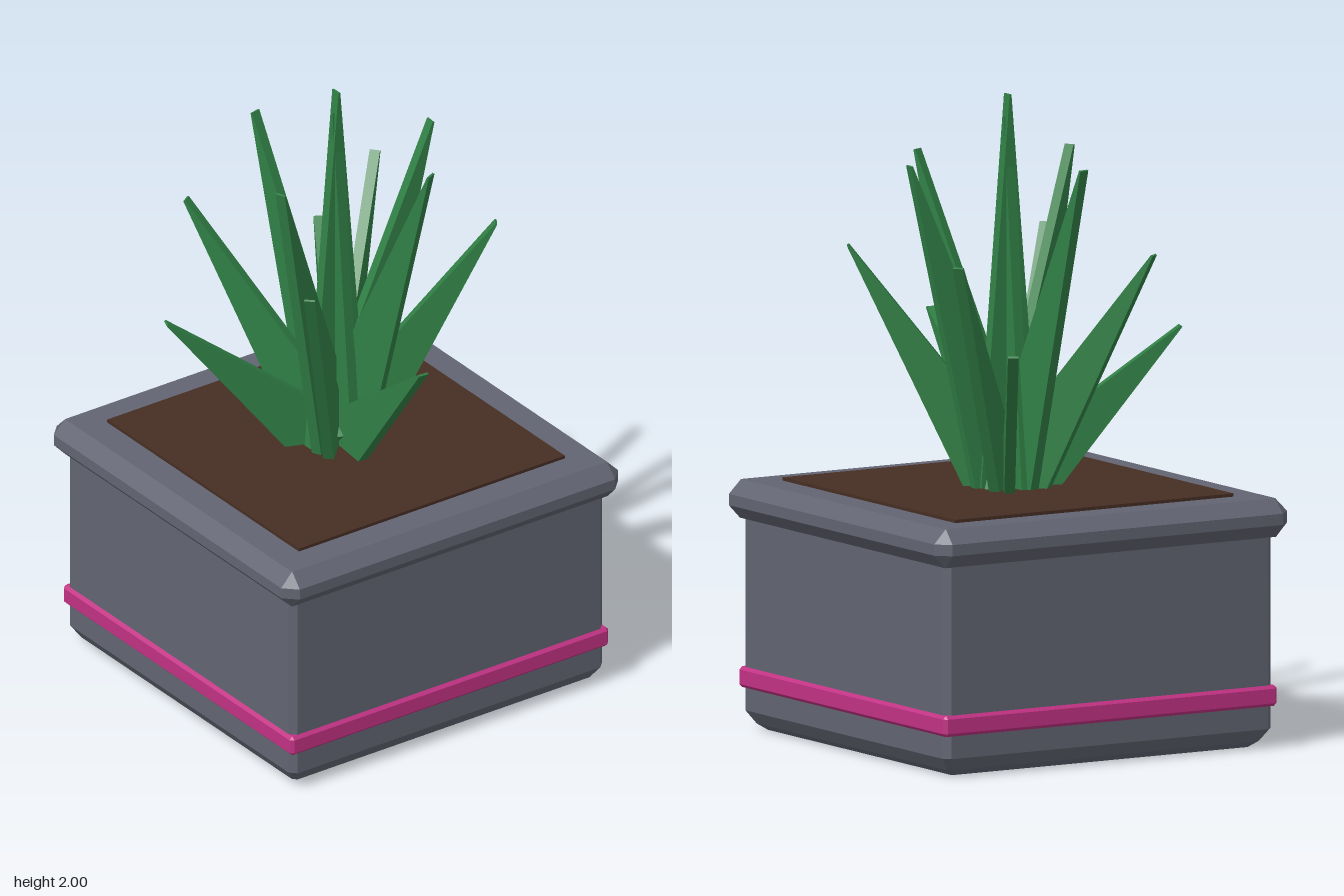
import * as THREE from 'three';

const mat = (name, color) => {
  const m = new THREE.MeshStandardMaterial({ color });
  m.name = name;
  return m;
};

// Square block with cut corners, lofted through rings of [y, half width, corner cut]
function bevelledBlock(rings) {
  const loops = rings.map(([y, h, c]) => {
    const k = h - c;
    return [[h, k], [k, h], [-k, h], [-h, k], [-h, -k], [-k, -h], [k, -h], [h, -k]]
      .map(([x, z]) => [x, y, z]);
  });
  const pos = [];
  const tri = (...pts) => pts.forEach((p) => pos.push(...p));
  const last = loops.length - 1;
  for (let j = 0; j < 8; j++) {
    const n = (j + 1) % 8;
    for (let i = 0; i < last; i++) {
      const a = loops[i][j], b = loops[i][n], c = loops[i + 1][j], d = loops[i + 1][n];
      tri(a, c, b);
      tri(b, c, d);
    }
    tri([0, rings[0][0], 0], loops[0][j], loops[0][n]);
    tri([0, rings[last][0], 0], loops[last][n], loops[last][j]);
  }
  const geo = new THREE.BufferGeometry();
  geo.setAttribute('position', new THREE.Float32BufferAttribute(pos, 3));
  geo.computeVertexNormals();
  return geo;
}

// Flat blade of even thickness that narrows to a sharp tip
function bladeGeometry(length) {
  const geo = new THREE.BoxGeometry(0.22, length, 0.033);
  geo.translate(0, length / 2, 0);
  const p = geo.attributes.position;
  for (let i = 0; i < p.count; i++) {
    if (p.getY(i) > length / 2) p.setX(i, p.getX(i) * 0.03);
  }
  geo.computeVertexNormals();
  return geo;
}

export function createModel() {
  const model = new THREE.Group();
  model.name = 'pottedPlant';
  const slate = mat('slate grey', 0x626572);
  const magenta = mat('magenta', 0xc23284);
  const brown = mat('soil brown', 0x462e23);
  const green = mat('leaf green', 0x318046);

  const add = (name, geo, material, parent = model) => {
    const mesh = new THREE.Mesh(geo, material);
    mesh.name = name;
    parent.add(mesh);
    return mesh;
  };

  // Pot body, rim and stripe
  add('potBody', bevelledBlock([
    [0, 0.535, 0.003], [0.02, 0.565, 0.015], [0.06, 0.592, 0.02], [0.69, 0.592, 0.02],
  ]), slate);
  add('potRim', bevelledBlock([
    [0.655, 0.597, 0.001], [0.697, 0.637, 0.041], [0.732, 0.637, 0.041], [0.775, 0.595, 0.001],
  ]), slate);
  add('potStripe', bevelledBlock([
    [0.13, 0.592, 0.001], [0.14, 0.602, 0.011], [0.185, 0.602, 0.011], [0.195, 0.592, 0.001],
  ]), magenta);

  // Soil
  add('soil', new THREE.BoxGeometry(1.005, 0.065, 1.005).translate(0, 0.7525, 0), brown);

  // Leaves fan out from one point; each entry is the tip [x, y, z]
  const leaves = new THREE.Group();
  leaves.name = 'leaves';
  model.add(leaves);
  const baseY = 0.75;
  const tips = [
    [0.001, 2, 0], [0, 1.93, 0.001],
    [0.34, 1.8, 0.025], [0.135, 1.8, 0.31], [-0.31, 1.8, 0.14], [-0.065, 1.8, -0.335],
    [0.375, 1.53, -0.315], [0.41, 1.53, 0.27], [-0.345, 1.53, 0.34], [-0.275, 1.53, -0.405],
    [0.27, 1.265, -0.465], [-0.055, 1.265, 0.535], [-0.505, 1.265, -0.19],
  ];
  tips.forEach(([x, y, z], i) => {
    const reach = Math.hypot(x, z), rise = y - baseY;
    const leaf = add(`leaf${i + 1}`, bladeGeometry(Math.hypot(reach, rise)), green, leaves);
    leaf.position.y = baseY;
    leaf.rotation.set(0, -Math.atan2(z, x), -Math.atan2(reach, rise));
  });

  return model;
}
